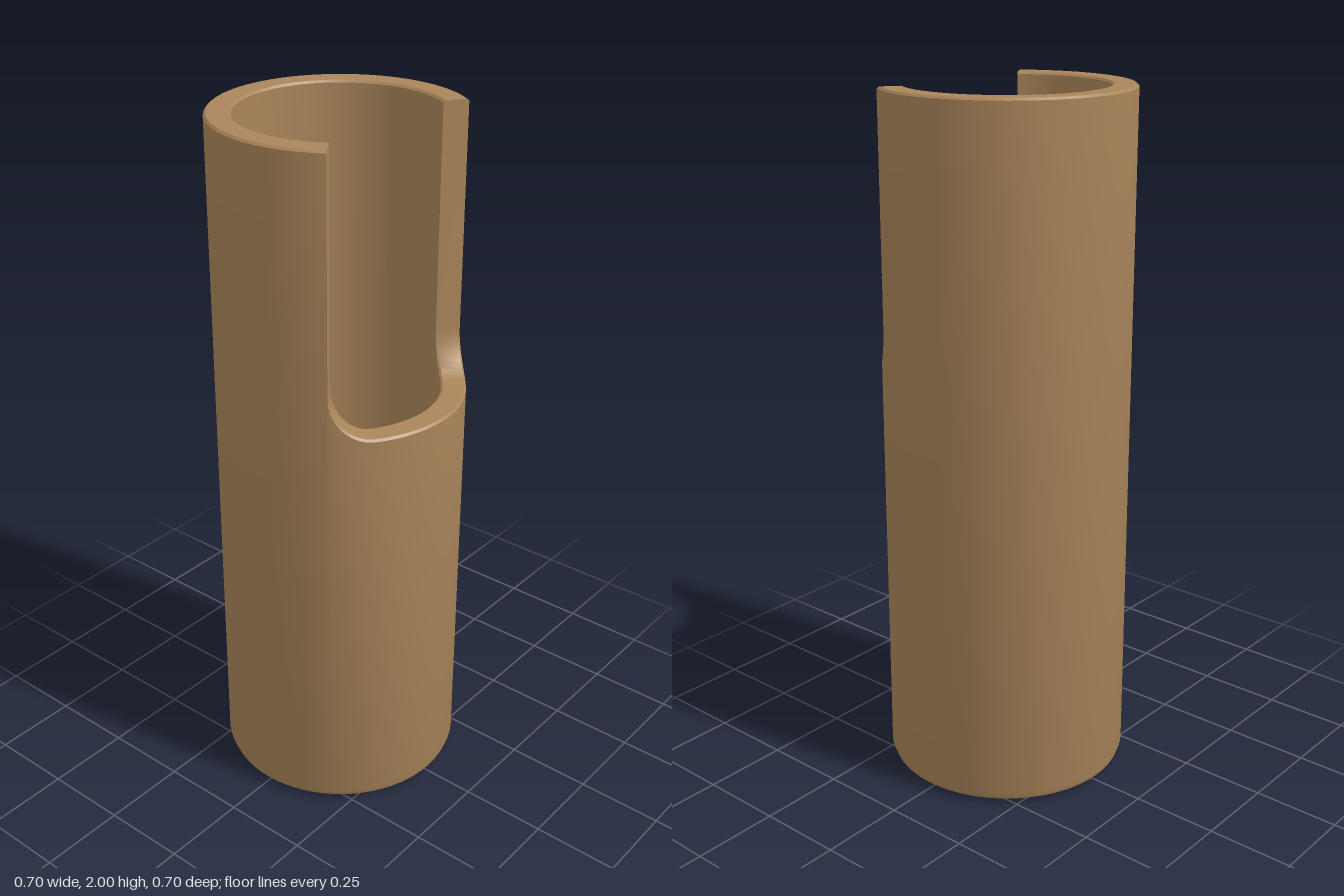
import * as THREE from 'three';
import { toCreasedNormals } from 'three/addons/utils/BufferGeometryUtils.js';

const OUTER = 0.352, INNER = 0.28, FLOOR_R = 0.253, FLOOR_Y = 0.08;
const TOP = 2, SILL = 1.22, CORNER = 0.13;
const HALF = THREE.MathUtils.degToRad(56); // half angle of the side notch

// Height of the notch edge: a flat sill with rounded lower corners
function notchHeight(angle) {
  const fromEdge = (HALF - Math.abs(angle)) * OUTER;
  const d = Math.max(0, CORNER - fromEdge);
  return SILL + CORNER - Math.sqrt(Math.max(0, CORNER * CORNER - d * d));
}

// Wall columns around the tube as [angle, height]; paired columns make the notch sides
function wallColumns() {
  const columns = [];
  const notchSteps = 48, wallSteps = 56;
  for (let i = 0; i <= notchSteps; i++) {
    const angle = -HALF * Math.cos((i / notchSteps) * Math.PI);
    columns.push([angle, notchHeight(angle)]);
  }
  for (let i = 0; i <= wallSteps; i++) {
    columns.push([HALF + (i / wallSteps) * (2 * Math.PI - 2 * HALF), TOP]);
  }
  columns.push([2 * Math.PI - HALF, notchHeight(-HALF)]);
  return columns;
}

// Cross-section from the inner floor, over the rim, down to the underside
function section([angle, height]) {
  const profile = [
    [FLOOR_R, FLOOR_Y], [INNER, 1.18], [INNER, height - 0.006], [INNER + 0.006, height],
    [OUTER - 0.006, height], [OUTER, height - 0.006],
    [OUTER, 0.035], [OUTER - 0.008, 0.014], [OUTER - 0.03, 0], [0, 0],
  ];
  return profile.map(([r, y]) => new THREE.Vector3(r * Math.cos(angle), y, r * Math.sin(angle)));
}

function tubeGeometry() {
  const sections = wallColumns().map(section);
  const positions = [];
  const triangle = (a, b, c) => {
    const area = b.clone().sub(a).cross(c.clone().sub(a)).length();
    if (area > 1e-9) for (const p of [a, b, c]) positions.push(p.x, p.y, p.z);
  };
  for (let i = 0; i < sections.length - 1; i++) {
    const s = sections[i], t = sections[i + 1];
    for (let k = 0; k < s.length - 1; k++) {
      triangle(s[k], t[k + 1], s[k + 1]);
      triangle(s[k], t[k], t[k + 1]);
    }
  }
  const geometry = new THREE.BufferGeometry();
  geometry.setAttribute('position', new THREE.Float32BufferAttribute(positions, 3));
  return toCreasedNormals(geometry, 0.6);
}

export function createModel() {
  const tan = new THREE.MeshStandardMaterial({ color: 0xaa855a });
  tan.name = 'tan';
  const darkBrown = new THREE.MeshStandardMaterial({ color: 0x63431f });
  darkBrown.name = 'dark brown';

  const model = new THREE.Group();
  model.name = 'notchedTube';

  // Tube wall with rim, notch and rounded base
  const tube = new THREE.Mesh(tubeGeometry(), tan);
  tube.name = 'tubeWall';
  model.add(tube);

  // Dark floor inside the tube
  const floor = new THREE.Mesh(new THREE.CircleGeometry(FLOOR_R + 0.001, 96), darkBrown);
  floor.name = 'innerFloor';
  floor.rotation.x = -Math.PI / 2;
  floor.position.y = FLOOR_Y;
  model.add(floor);

  return model;
}
